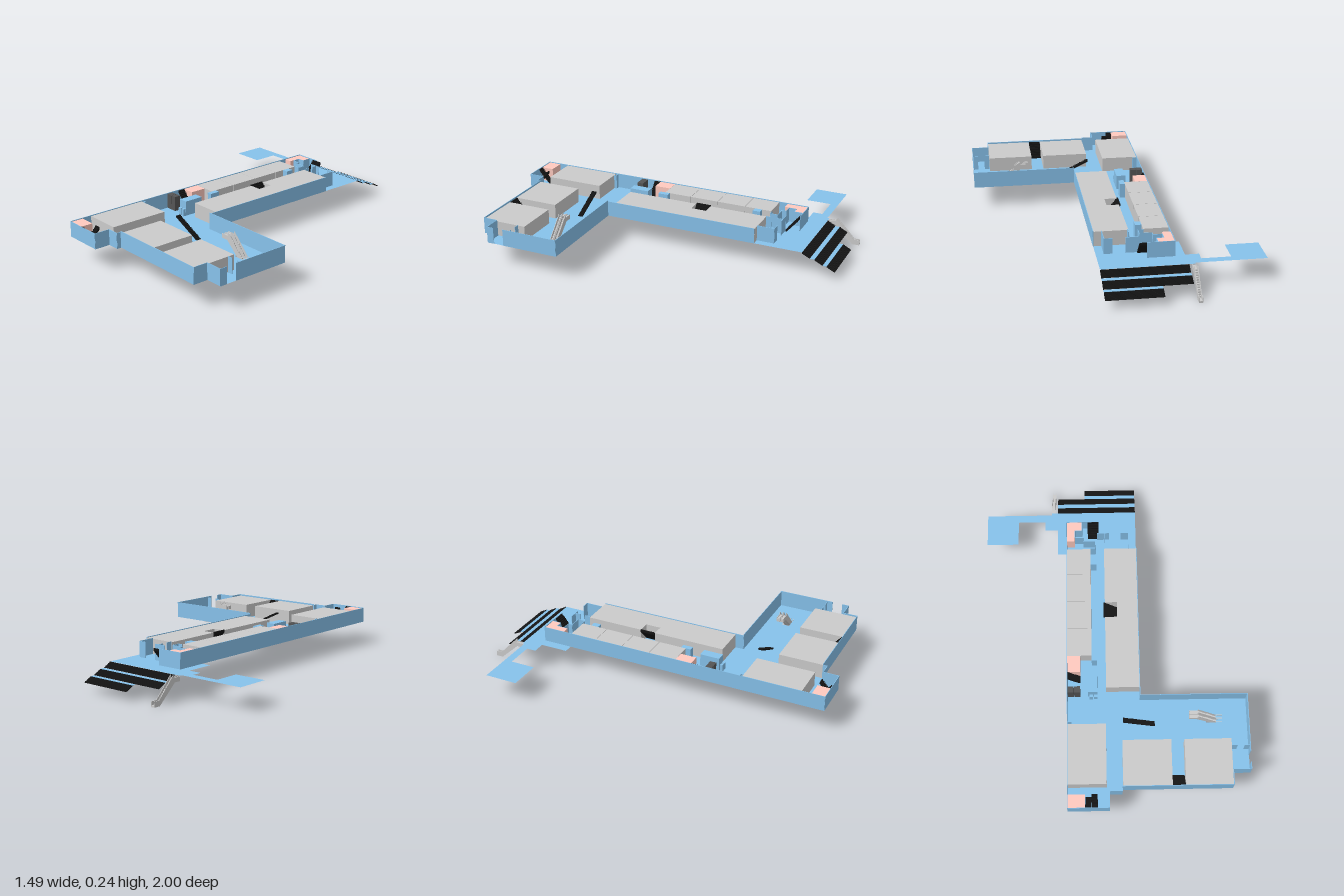
import * as THREE from 'three';

const grey = new THREE.MeshStandardMaterial({ color: 0xcccccc, side: THREE.DoubleSide });
const blue = new THREE.MeshStandardMaterial({ color: 0x87c2eb, side: THREE.DoubleSide });
const pink = new THREE.MeshStandardMaterial({ color: 0xffcabf });
const dark = new THREE.MeshStandardMaterial({ color: 0x151515, side: THREE.DoubleSide });

const FLOOR = 0.128, TOP = 0.217, ROOF = 0.213;

export function createModel() {
  const model = new THREE.Group();
  const add = (name, geometry, material, parent = model) => {
    const mesh = new THREE.Mesh(geometry, material);
    mesh.name = name;
    parent.add(mesh);
    return mesh;
  };
  const plan = (points) => new THREE.Shape(points.map(([x, z]) => new THREE.Vector2(x, z)));

  // Solid standing between two heights over a plan outline
  const prism = (name, points, y0, y1, material) => {
    const g = new THREE.ExtrudeGeometry(plan(points), { depth: y1 - y0, bevelEnabled: false });
    g.rotateX(Math.PI / 2).translate(0, y1, 0);
    return add(name, g, material);
  };
  const block = (name, x0, x1, z0, z1, material, y0 = FLOOR, y1 = ROOF) => {
    const g = new THREE.BoxGeometry(x1 - x0, y1 - y0, z1 - z0);
    g.translate((x0 + x1) / 2, (y0 + y1) / 2, (z0 + z1) / 2);
    return add(name, g, material);
  };
  // Thin wall panels along a polyline
  const wall = (name, points, top = TOP) => {
    const group = new THREE.Group();
    group.name = name;
    model.add(group);
    for (let i = 0; i < points.length - 1; i++) {
      const [ax, az] = points[i], [bx, bz] = points[i + 1];
      const g = new THREE.BoxGeometry(Math.hypot(bx - ax, bz - az), top - FLOOR, 0.003);
      g.rotateY(Math.atan2(az - bz, bx - ax));
      g.translate((ax + bx) / 2, (top + FLOOR) / 2, (az + bz) / 2);
      add('wallPanel', g, blue, group);
    }
  };
  // Side profile extruded across its width, heading from (x, z) along (dx, dz)
  const sweep = (name, profile, x, z, dx, dz, width, material) => {
    const g = new THREE.ExtrudeGeometry(plan(profile), { depth: width, bevelEnabled: false });
    g.translate(0, 0, -width / 2).rotateY(Math.atan2(-dz, dx)).translate(x, 0, z);
    return add(name, g, material);
  };
  // Descending stair flight with a sloped underside
  const flight = (name, from, to, width, y1, y0, n) => {
    const dx = to[0] - from[0], dz = to[1] - from[1], run = Math.hypot(dx, dz);
    const points = [];
    for (let i = 0; i < n; i++) {
      const y = y1 - (y1 - y0) * i / n;
      points.push([run * i / n, y], [run * (i + 1) / n, y]);
    }
    points.push([run, y0], [run - run / n, y0], [0, y1 - 1.5 * (y1 - y0) / n]);
    return sweep(name, points, from[0], from[1], dx, dz, width, dark);
  };

  // Floor plate with an opening for the indoor escalators
  const floorShape = plan([
    [-0.745, -0.8], [-0.36, -0.8], [-0.36, -0.812], [0.14, -0.812], [0.14, 0.37], [0.74, 0.37],
    [0.74, 0.8], [0.64, 0.8], [0.64, 0.885], [0.03, 0.885], [0.03, 0.91], [-0.04, 0.91],
    [-0.04, 1], [-0.27, 1], [-0.27, -0.54], [-0.325, -0.54], [-0.325, -0.7], [-0.4, -0.7],
    [-0.4, -0.755], [-0.56, -0.755], [-0.56, -0.61], [-0.745, -0.61]]);
  floorShape.holes.push(plan([[0.51, 0.465], [0.51, 0.51], [0.565, 0.51], [0.565, 0.465]]));
  add('floor', new THREE.ShapeGeometry(floorShape).rotateX(Math.PI / 2).translate(0, FLOOR, 0), blue);

  // Outer walls
  wall('outerWall', [[-0.12, -0.71], [-0.27, -0.71], [-0.27, 1], [-0.04, 1], [-0.04, 0.91],
    [0.03, 0.91], [0.03, 0.885]]);
  wall('wingFrontWall', [[0.03, 0.885], [0.64, 0.885], [0.64, 0.8], [0.74, 0.8], [0.74, 0.76]], 0.222);
  wall('corridorWall', [[0.14, -0.535], [0.14, 0.37]]);
  wall('wingBackWall', [[0.14, 0.37], [0.74, 0.37], [0.74, 0.7]], 0.224);

  // Inner walls
  wall('lobbyWall', [[-0.09, -0.635], [-0.02, -0.635]]);
  wall('lobbyWall', [[0.05, -0.635], [0.095, -0.635], [0.095, -0.535]]);
  wall('lobbyWall', [[-0.045, -0.635], [-0.045, -0.6]]);
  wall('lobbyWall', [[-0.045, -0.57], [-0.045, -0.535]]);
  wall('serviceWall', [[-0.18, -0.71], [-0.18, -0.655], [-0.22, -0.655], [-0.22, -0.61], [-0.17, -0.61],
    [-0.17, -0.585], [-0.1, -0.585], [-0.1, -0.54], [-0.13, -0.54]], ROOF);
  wall('sideRoomWall', [[0.64, 0.665], [0.67, 0.665]]);
  wall('sideRoomWall', [[0.71, 0.665], [0.74, 0.665]]);
  wall('liftWall', [[-0.27, 0.515], [-0.245, 0.515], [-0.245, 0.53]], ROOF);

  // Small blue cores
  for (const [x0, x1, z0, z1] of [
    [-0.13, -0.095, -0.48, -0.435], [-0.13, -0.1, 0.1, 0.16], [-0.153, -0.1, 0.23, 0.345]])
    block('core', x0, x1, z0, z1, blue);
  for (const x of [-0.135, -0.11]) block('corePost', x - 0.01, x + 0.01, 0.347, 0.362, blue, FLOOR, 0.17);

  // Large rooms; the long one is notched for a stair
  prism('longRoom', [[-0.05, -0.535], [0.138, -0.535], [0.138, 0.32], [-0.05, 0.32],
    [-0.05, -0.105], [0.02, -0.105], [0.02, -0.195], [-0.05, -0.195]], FLOOR, ROOF, grey);
  const rowEnds = [-0.535, -0.375, -0.205, -0.035, 0.13];
  for (let i = 0; i < 4; i++) block('rowRoom', -0.268, -0.13, rowEnds[i] + 0.001, rowEnds[i + 1] - 0.001, grey);
  block('cornerRoom', -0.268, -0.055, 0.53, 0.87, grey);
  block('wingRoom', 0.035, 0.305, 0.625, 0.883, grey);
  block('wingRoom', 0.378, 0.638, 0.625, 0.883, grey);

  // Pink service rooms
  prism('serviceRoom', [[-0.268, -0.708], [-0.182, -0.708], [-0.182, -0.657], [-0.222, -0.657],
    [-0.222, -0.585], [-0.268, -0.585]], FLOOR, ROOF, pink);
  block('serviceRoom', -0.268, -0.195, 0.13, 0.225, pink);
  block('serviceRoom', -0.268, -0.175, 0.925, 0.998, pink);

  // Indoor stairs
  flight('hallStair', [0.04, 0.512], [0.22, 0.512], 0.027, TOP, FLOOR, 18);
  flight('notchStair', [-0.058, -0.15], [0.02, -0.15], 0.088, TOP, FLOOR, 10);
  flight('northStair', [-0.113, -0.71], [-0.113, -0.64], 0.065, ROOF, FLOOR, 10);
  flight('sideStair', [-0.268, 0.245], [-0.195, 0.245], 0.04, ROOF, FLOOR, 10);
  flight('wingStair', [0.341, 0.883], [0.341, 0.81], 0.07, ROOF, FLOOR, 10);
  for (const [x, z0, z1] of [[-0.157, 0.998, 0.925], [-0.122, 0.925, 0.998]])
    flight('cornerStair', [x, z0], [x, z1], 0.033, ROOF, FLOOR, 10);

  // Pair of lifts
  for (const x of [-0.25, -0.214])
    block('lift', x - 0.017, x + 0.017, 0.31, 0.347, new THREE.MeshStandardMaterial({ color: 0x555555 }));

  // Outdoor steps: three flights with landings between
  const landing = (x0, z0, z1, y) => block('landing', x0, 0.14, z0, z1, blue, y - 0.002, y);
  [[-0.325, -0.812, 0.127], [-0.325, -0.885, 0.1], [-0.165, -0.955, 0.073]].forEach(([x0, z, y], i) => {
    const mid = (x0 + 0.14) / 2;
    flight('outdoorSteps', [mid, z], [mid, z - 0.047], 0.14 - x0, y, y - 0.025, 8);
    if (i < 2) landing(i ? -0.165 : -0.325, z - (i ? 0.07 : 0.073), z - 0.047, y - 0.026);
  });

  // Escalators: two balustrades around a run of steps
  const escalator = (x, z, dx, dz, lift, width) => {
    const rail = [[0, 0.1], [0, 0.125], [0.045, 0.125], [0.05, 0.14], [0.155, 0.03], [0.19, 0.03],
      [0.19, 0], [0.15, 0], [0.04, 0.1]].map(([r, y]) => [r, y + lift]);
    const side = width / 2 - 0.002;
    for (const s of [-1, 1])
      sweep('escalatorSide', rail, x - dz * s * side, z + dx * s * side, dx, dz, 0.003, grey);
    const steps = [[0, 0.1 + lift], [0, 0.12 + lift]];
    for (let i = 0; i < 12; i++) {
      const y = 0.12 - 0.11 * i / 12 + lift;
      steps.push([0.045 + i * 0.009, y], [0.054 + i * 0.009, y]);
    }
    steps.push([0.153, 0.01 + lift], [0.19, 0.01 + lift], [0.19, lift], [0.15, lift], [0.04, 0.1 + lift]);
    sweep('escalatorSteps', steps, x, z, dx, dz, width - 0.007, grey);
  };
  escalator(-0.35, -0.81, 0, -1, 0, 0.022);
  escalator(0.41, 0.476, 1, 0, 0.1, 0.021);
  escalator(0.41, 0.499, 1, 0, 0.1, 0.021);

  return model;
}
